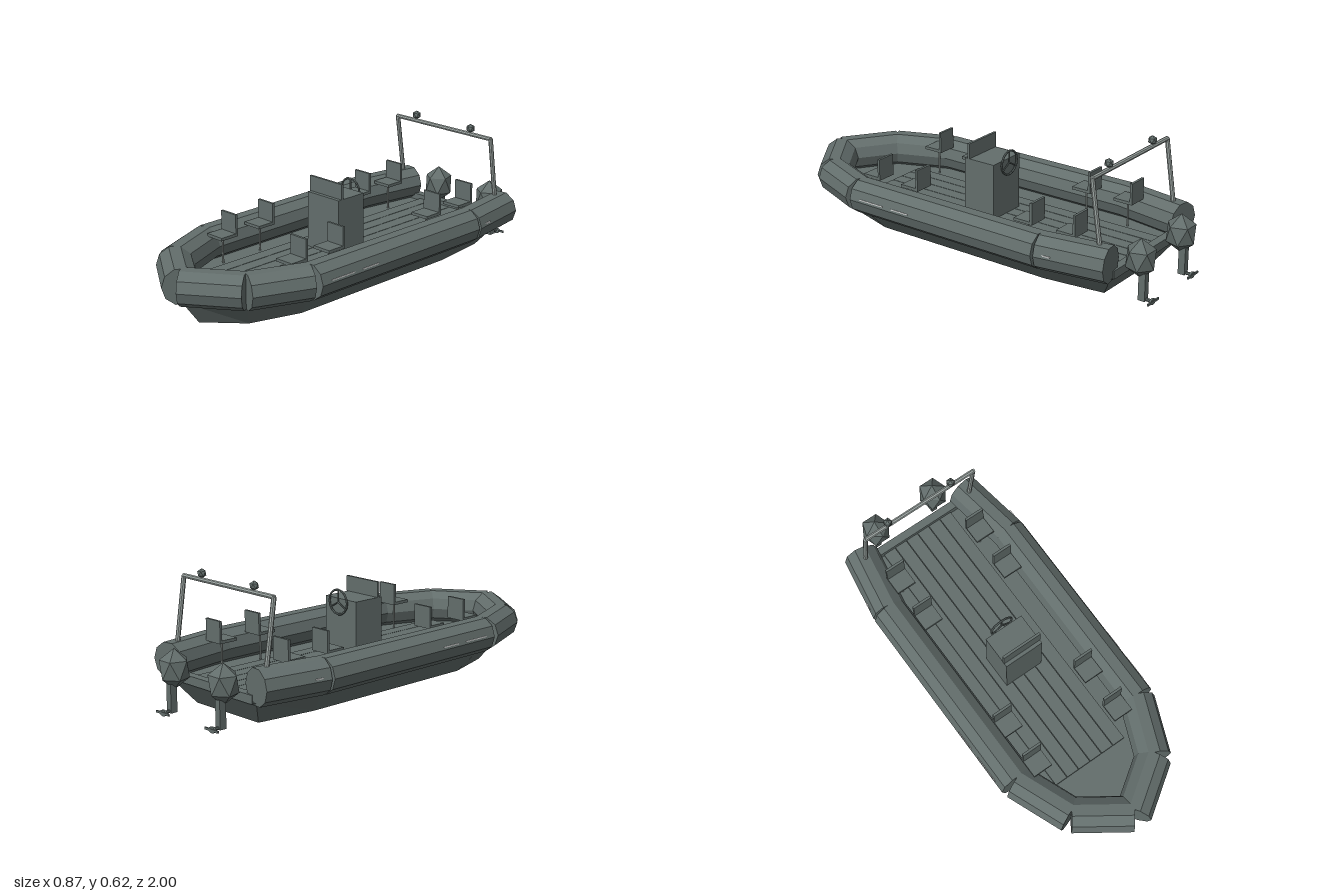
import * as THREE from 'three';

function flat(name, color) {
  const material = new THREE.MeshStandardMaterial({ color, flatShading: true });
  material.name = name;
  return material;
}
const hullGrey = flat('slate grey', 0x636e6c);
const metalGrey = flat('metal grey', 0x9aa3a0);
const ropeWhite = flat('rope white', 0xf2f2f2);

const TUBE_R = 0.085, TUBE_Y = 0.201, DECK_Y = 0.13;
// Half of the tube centreline, bow to stern, as [x, z]
const HALF = [[0, 0.927], [0.234, 0.766], [0.343, 0.497], [0.349, -0.537], [0.298, -0.86]];

function add(parent, name, geometry, x = 0, y = 0, z = 0, material = hullGrey) {
  const mesh = new THREE.Mesh(geometry, material);
  mesh.name = name;
  mesh.position.set(x, y, z);
  parent.add(mesh);
  return mesh;
}
const box = (w, h, d) => new THREE.BoxGeometry(w, h, d);

// Cylinder between two points, with one corner of its section facing sideways
function bar(parent, name, a, b, radius, sides, material = hullGrey) {
  const start = new THREE.Vector3(...a), end = new THREE.Vector3(...b);
  const dir = end.clone().sub(start);
  const length = dir.length();
  dir.normalize();
  const ref = Math.abs(dir.y) > 0.8 ? new THREE.Vector3(0, 0, 1) : new THREE.Vector3(0, 1, 0);
  const side = ref.cross(dir).normalize();
  const up = dir.clone().cross(side);
  const middle = start.add(end).multiplyScalar(0.5);
  const mesh = add(parent, name, new THREE.CylinderGeometry(radius, radius, length, sides),
    middle.x, middle.y, middle.z, material);
  mesh.quaternion.setFromRotationMatrix(new THREE.Matrix4().makeBasis(up, dir, side));
}

// Faceted ball standing on a corner
function ball(radius, stretch = 1) {
  return new THREE.IcosahedronGeometry(radius, 0)
    .rotateZ(Math.atan(2 / (1 + Math.sqrt(5))))
    .rotateY(Math.PI / 2)
    .scale(1, stretch, 1);
}

// Flat-bottomed hull, narrowing downwards
function hullGeometry() {
  const left = HALF.map(([x, z]) => new THREE.Vector2(x, z));
  const right = HALF.slice(1).reverse().map(([x, z]) => new THREE.Vector2(-x, z));
  const geometry = new THREE.ExtrudeGeometry(new THREE.Shape([...left, ...right]),
    { depth: DECK_Y - 0.009, bevelEnabled: false });
  geometry.rotateX(Math.PI / 2).translate(0, DECK_Y, 0);
  const p = geometry.attributes.position;
  for (let i = 0; i < p.count; i++) {
    if (p.getY(i) < 0.05) p.setXYZ(i, p.getX(i) * 0.7, p.getY(i), p.getZ(i) * 0.9);
  }
  geometry.computeVertexNormals();
  return geometry;
}

function makeSeat() {
  const seat = new THREE.Group();
  seat.name = 'seat';
  add(seat, 'seatPad', box(0.098, 0.014, 0.098), 0, 0.268, 0.045);
  add(seat, 'seatBack', box(0.098, 0.096, 0.012), 0, 0.317, 0.002);
  add(seat, 'seatLeg', new THREE.CylinderGeometry(0.005, 0.005, 0.13, 6), 0, 0.197, 0.045, metalGrey);
  return seat;
}

function makeEngine() {
  const engine = new THREE.Group();
  engine.name = 'outboardEngine';
  add(engine, 'engineCowl', ball(0.074, 1.24), 0, 0.203, -0.927);
  add(engine, 'engineLeg', box(0.03, 0.13, 0.034), 0, 0.075, -0.945);
  add(engine, 'propellerShaft', new THREE.CylinderGeometry(0.008, 0.008, 0.05, 8).rotateX(Math.PI / 2),
    0, 0.017, -0.972);
  add(engine, 'propellerHub',
    new THREE.CylinderGeometry(0.014, 0.014, 0.01, 10).rotateX(Math.PI / 2).scale(1.6, 1, 1),
    0, 0.016, -0.992);
  add(engine, 'propellerBlades', box(0.088, 0.01, 0.007), 0, 0.016, -0.996);
  return engine;
}

function makeConsole() {
  const helm = new THREE.Group();
  helm.name = 'console';
  add(helm, 'consoleBody', box(0.2, 0.278, 0.165), 0, 0.269, -0.0085);
  add(helm, 'windscreen', box(0.204, 0.073, 0.012), 0, 0.4455, 0.051);
  // Steering wheel on the aft face
  add(helm, 'wheelRim', new THREE.TorusGeometry(0.058, 0.005, 6, 16), 0, 0.395, -0.107);
  for (let i = 0; i < 3; i++) {
    const a = Math.PI / 2 + i * Math.PI * 2 / 3;
    bar(helm, 'wheelSpoke', [0, 0.395, -0.107],
      [0.058 * Math.cos(a), 0.395 + 0.058 * Math.sin(a), -0.107], 0.004, 6);
  }
  return helm;
}

export function createModel() {
  const boat = new THREE.Group();
  boat.name = 'inflatableBoat';
  add(boat, 'hull', hullGeometry());
  add(boat, 'transom', box(0.54, 0.04, 0.04), 0, 0.14, -0.84);

  // Deck planks
  for (let i = 0; i < 6; i++) {
    add(boat, 'deckPlank', box(0.063, 0.012, 1.42), (i - 2.5) * 0.066, DECK_Y + 0.004, -0.11);
  }

  for (const s of [1, -1]) {
    // Inflated tube sections
    for (let i = 0; i < HALF.length - 1; i++) {
      const [ax, az] = HALF[i], [bx, bz] = HALF[i + 1];
      bar(boat, 'tubeSection', [s * ax, TUBE_Y, az], [s * bx, TUBE_Y, bz], TUBE_R, 10);
    }
    // Short exposed lengths of grab line
    for (const [z, length, x] of [[0.37, 0.14, 0.422], [0.2, 0.1, 0.423], [-0.6, 0.06, 0.418]]) {
      add(boat, 'grabLine', box(0.009, 0.005, length), s * x, 0.213, z, ropeWhite);
    }
    // Seats in two pairs per side
    for (const z of [0.445, 0.217, -0.43, -0.657]) {
      const seat = makeSeat();
      seat.position.set(s * 0.228, 0, z);
      boat.add(seat);
    }
    const engine = makeEngine();
    engine.position.x = s * 0.167;
    boat.add(engine);

    // Arch post and lamp
    bar(boat, 'archPost', [s * 0.301, 0.2, -0.815], [s * 0.301, 0.571, -0.758], 0.011, 8, metalGrey);
    add(boat, 'archLamp', ball(0.022), s * 0.175, 0.599, -0.758);
  }
  bar(boat, 'archCrossbar', [-0.302, 0.57, -0.758], [0.302, 0.57, -0.758], 0.011, 8, metalGrey);
  boat.add(makeConsole());
  return boat;
}
